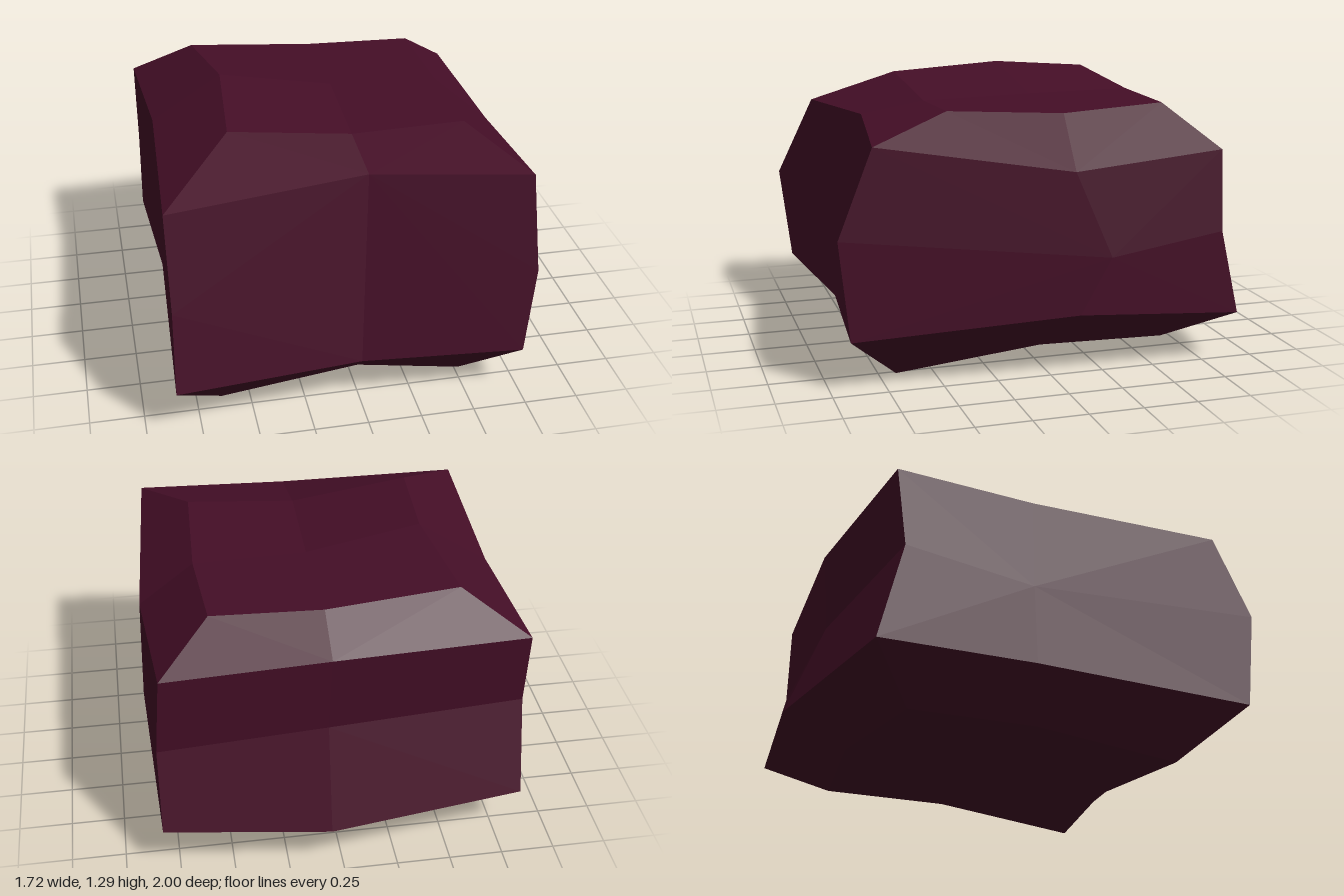
import * as THREE from 'three';

// Full rings run front-left, front, front-right, right, back-right, back, back-left, left
const base = [
  [-0.63, 0, 0.67], [0.03, 0.055, 0.63], [0.52, 0, 0.67], [0.62, 0.105, 0.01],
  [0.56, 0.07, -0.62], [0.04, 0.09, -0.7], [-0.58, 0.07, -0.62], [-0.55, 0.1, 0.01],
];
const lower = [
  [-0.86, 0.24, 0.94], [0, 0.24, 0.855], [0.75, 0.24, 0.915], [0.84, 0.3, -0.11],
  [0.82, 0.24, -0.89], [0.06, 0.24, -1], [-0.86, 0.24, -0.86], [-0.82, 0.275, -0.11],
];
// The middle ring is open at the front: front-right round the back to front-left
const middle = [
  [0.77, 0.7, 0.965], [0.855, 0.56, -0.25], [0.82, 0.635, -0.8], [0.05, 0.7, -0.82],
  [-0.86, 0.7, -0.745], [-0.82, 0.65, -0.12], [-0.86, 0.7, 0.995],
];
const upper = [
  [-0.86, 1.08, 0.81], [0.05, 1.13, 0.715], [0.78, 1.1, 0.81], [0.84, 0.955, -0.08],
  [0.79, 1.01, -0.8], [0.04, 1.08, -0.85], [-0.86, 1.07, -0.79], [-0.82, 1.08, -0.12],
];
const crown = [
  [-0.53, 1.255, 0.43], [0.04, 1.18, 0.41], [0.56, 1.205, 0.43], [0.58, 1.175, -0.11],
  [0.55, 1.2, -0.6], [0.04, 1.2, -0.625], [-0.57, 1.25, -0.61], [-0.49, 1.295, -0.11],
];
const topCentre = [0.05, 1.195, -0.12];
const bottomCentre = [0.03, 0.135, 0.0];

export function createModel() {
  const group = new THREE.Group();
  group.name = 'rock';
  const stone = new THREE.MeshStandardMaterial({ color: 0x450e27 });
  stone.name = 'dark maroon stone';

  const positions = [], normals = [];

  // One flat-shaded facet, fanned from its first corner, with a single shared normal
  function facet(...corners) {
    const p = corners.map((c) => new THREE.Vector3(...c));
    const normal = new THREE.Vector3();
    for (let k = 1; k < p.length - 1; k++) {
      const edge = p[k].clone().sub(p[0]);
      normal.add(edge.cross(p[k + 1].clone().sub(p[0])));
    }
    normal.normalize();
    for (let k = 1; k < p.length - 1; k++) {
      for (const v of [p[0], p[k], p[k + 1]]) {
        positions.push(...v);
        normals.push(...normal);
      }
    }
  }

  // Four-sided facet from low edge a-b to high edge c-d, split along a-d or b-c
  function quad(a, b, c, d, splitAD) {
    if (splitAD) facet(a, b, d, c);
    else facet(b, d, c, a);
  }

  // Bevels below and above the walls, with diagonals mirrored about the corners
  for (let i = 0; i < 8; i++) {
    const j = (i + 1) % 8;
    quad(base[i], base[j], lower[i], lower[j], i % 2 === 1);
    quad(upper[i], upper[j], crown[i], crown[j], i % 2 === 1);
  }

  // Right, back and left walls, folded along the middle ring
  for (let m = 0; m < 6; m++) {
    const i = m + 2, j = (m + 3) % 8;
    quad(lower[i], lower[j], middle[m], middle[m + 1], m % 2 === 0);
    quad(middle[m], middle[m + 1], upper[i], upper[j], m % 2 === 1);
  }

  // Front wall: two five-sided facets meeting at a seam
  facet(middle[6], lower[0], lower[1], upper[1], upper[0]);
  facet(upper[1], lower[1], lower[2], middle[0], upper[2]);

  // Top and underside, four facets each
  for (let i = 0; i < 8; i += 2) {
    const before = (i + 7) % 8, after = i + 1;
    facet(topCentre, crown[before], crown[i], crown[after]);
    facet(bottomCentre, base[after], base[i], base[before]);
  }

  const geometry = new THREE.BufferGeometry();
  geometry.setAttribute('position', new THREE.Float32BufferAttribute(positions, 3));
  geometry.setAttribute('normal', new THREE.Float32BufferAttribute(normals, 3));

  const body = new THREE.Mesh(geometry, stone);
  body.name = 'rockBody';
  group.add(body);
  return group;
}
